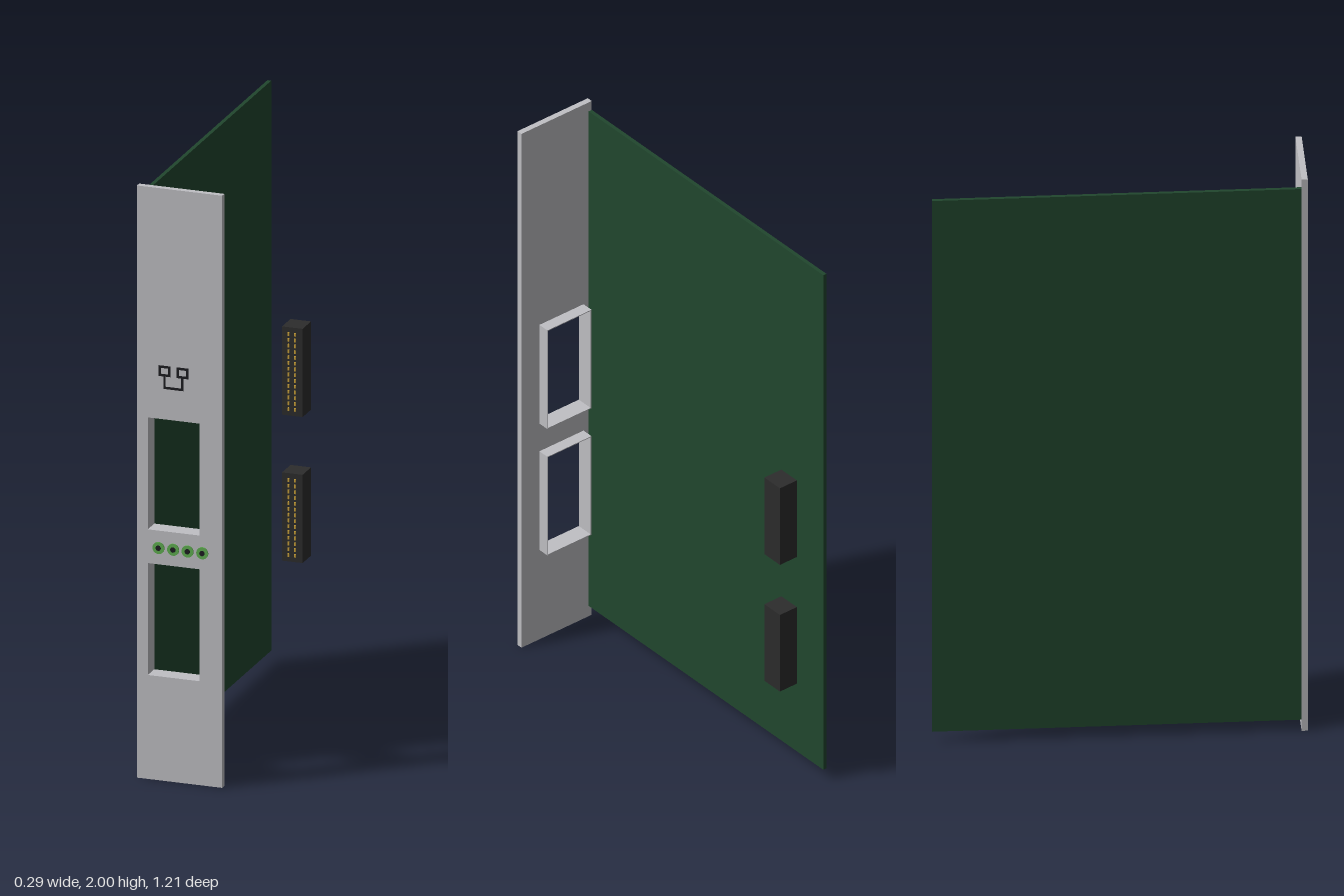
import * as THREE from 'three';

const mat = (name, color) => {
  const m = new THREE.MeshStandardMaterial({ color });
  m.name = name;
  return m;
};

export function createModel() {
  const metal = mat('panel grey', 0xc0c0c4);
  const green = mat('board green', 0x21472e);
  const black = mat('connector black', 0x2c2c2c);
  const gold = mat('contact gold', 0xc9a13a);
  const led = mat('indicator green', 0x5fae50);
  const ink = mat('marking ink', 0x1c1c20);

  const model = new THREE.Group();
  model.name = 'plugInCard';

  const add = (name, geo, material, x, y, z, parent = model) => {
    const mesh = new THREE.Mesh(geo, material);
    mesh.name = name;
    mesh.position.set(x, y, z);
    parent.add(mesh);
    return mesh;
  };
  const box = (name, w, h, d, material, x, y, z, parent) =>
    add(name, new THREE.BoxGeometry(w, h, d), material, x, y, z, parent);

  // Rectangle outline; Shape and Path share the same drawing calls
  const rect = (path, x0, y0, x1, y1) => {
    path.moveTo(x0, y0);
    path.lineTo(x1, y0);
    path.lineTo(x1, y1);
    path.lineTo(x0, y1);
    path.closePath();
    return path;
  };
  const extrude = (shape, depth) =>
    new THREE.ExtrudeGeometry(shape, { depth, bevelEnabled: false });

  const PANEL_BACK = 0.578, PANEL_FRONT = 0.598;
  const windows = [[0.348, 0.732], [0.84, 1.224]];
  const [wx0, wx1, wall] = [-0.112, 0.07, 0.003];

  // Face plate with two window openings
  const plate = rect(new THREE.Shape(), -0.146, 0, 0.144, 2);
  for (const [y0, y1] of windows) {
    plate.holes.push(rect(new THREE.Path(), wx0 + wall, y0 + wall, wx1 - wall, y1 - wall));
  }
  add('facePlate', extrude(plate, PANEL_FRONT - PANEL_BACK), metal, 0, 0, PANEL_BACK);

  // Thin collars behind the openings
  for (const [y0, y1] of windows) {
    const collar = rect(new THREE.Shape(), wx0, y0, wx1, y1);
    collar.holes.push(rect(new THREE.Path(), wx0 + wall, y0 + wall, wx1 - wall, y1 - wall));
    add('windowCollar', extrude(collar, 0.04), metal, 0, 0, PANEL_BACK - 0.04);
  }

  // Circuit board
  box('circuitBoard', 0.013, 1.925, 1.182, green, -0.1395, 1.003, -0.013);

  // Rear connectors with two columns of contacts
  for (const y of [0.54, 1.033]) {
    const connector = new THREE.Group();
    connector.name = 'rearConnector';
    connector.position.set(-0.019, y, -0.528);
    model.add(connector);
    box('connectorBody', 0.07, 0.298, 0.078, black, 0, 0, 0, connector);
    for (const x of [-0.012, 0.01]) {
      for (let i = 0; i < 14; i++) {
        box('contact', 0.006, 0.011, 0.006, gold, x, (i - 6.5) * 0.0195, 0.041, connector);
      }
    }
  }

  // Indicator lights: green rim around a dark centre
  for (const x of [-0.072, -0.022, 0.027, 0.077]) {
    const rim = new THREE.CylinderGeometry(0.02, 0.02, 0.004, 24).rotateX(Math.PI / 2);
    add('indicatorRim', rim, led, x, 0.785, PANEL_FRONT + 0.002);
    const core = new THREE.CylinderGeometry(0.009, 0.009, 0.002, 16).rotateX(Math.PI / 2);
    add('indicatorCentre', core, ink, x, 0.785, PANEL_FRONT + 0.0045);
  }

  // Port pictogram: two small squares joined by a bracket
  const z = PANEL_FRONT + 0.0005, line = 0.008;
  for (const x of [-0.052, 0.009]) {
    const square = rect(new THREE.Shape(), -0.02, -0.018, 0.02, 0.018);
    square.holes.push(rect(new THREE.Path(), -0.012, -0.01, 0.012, 0.01));
    add('symbolSquare', extrude(square, 0.001), ink, x, 1.384, z - 0.0005);
    box('symbolLeg', line, 0.042, 0.001, ink, x, 1.345, z);
  }
  box('symbolBar', 0.069, line, 0.001, ink, -0.0215, 1.328, z);

  return model;
}
